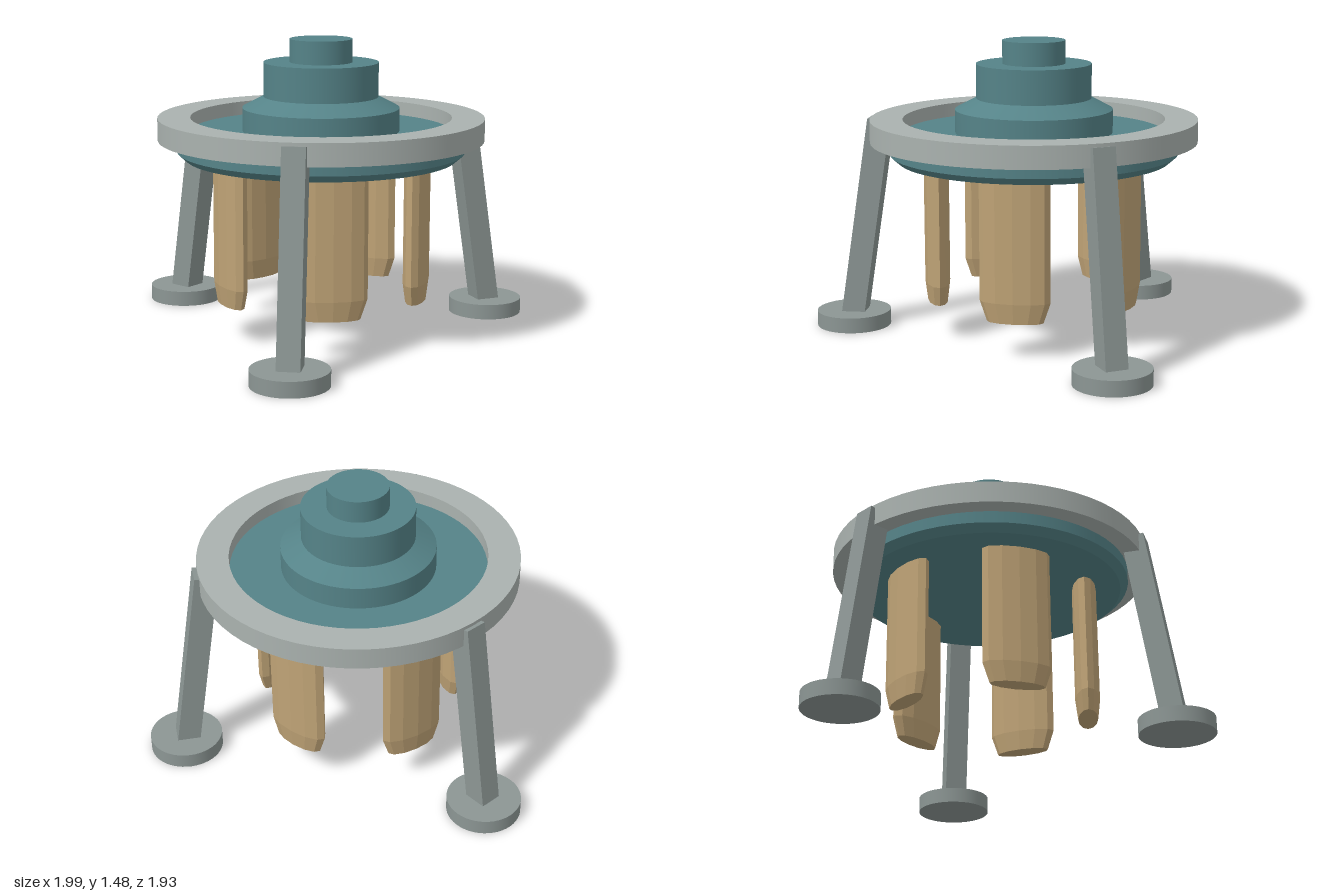
import * as THREE from 'three';

const mat = (color, flatShading = false) => new THREE.MeshStandardMaterial({ color, flatShading });
const CENTER_Z = 0.155;

function add(parent, name, geometry, material) {
  const mesh = new THREE.Mesh(geometry, material);
  mesh.name = name;
  parent.add(mesh);
  return mesh;
}

// Solid of revolution with sharp profile corners: each segment is its own lathe strip
function turned(parent, name, profile, material, segments = 64) {
  const group = new THREE.Group();
  group.name = name;
  for (let i = 0; i < profile.length - 1; i++) {
    const pts = [profile[i], profile[i + 1]].map(([r, y]) => new THREE.Vector2(r, y));
    add(group, name + 'Surface', new THREE.LatheGeometry(pts, segments), material);
  }
  parent.add(group);
  return group;
}

export function createModel() {
  const model = new THREE.Group();
  model.name = 'tripodLander';
  const body = new THREE.Group();
  body.name = 'body';
  body.position.z = CENTER_Z;
  model.add(body);

  const teal = mat(0x558388);
  const ringGrey = mat(0xaab2af);
  const legGrey = mat(0x8c9694);
  const tan = mat(0xbfa376, true);

  // Round hull: chamfered dish below, stepped dome above
  turned(body, 'hull', [
    [0, 0.885], [0.675, 0.885], [0.715, 0.92], [0.715, 1.02], [0.39, 1.02],
    [0.39, 1.135], [0.285, 1.19], [0.285, 1.36], [0.155, 1.36], [0.155, 1.475], [0, 1.475],
  ], teal);

  // Flat ring around the hull
  turned(body, 'outerRing', [
    [0.648, 0.98], [0.81, 0.98], [0.81, 1.09], [0.648, 1.09], [0.648, 0.98],
  ], ringGrey);

  // Three splayed legs on round feet
  const top = new THREE.Vector2(0.773, 1.067);
  const bottom = new THREE.Vector2(0.929, 0.06);
  const mid = top.clone().add(bottom).multiplyScalar(0.5);
  const tilt = Math.atan2(bottom.x - top.x, top.y - bottom.y);
  for (let i = 0; i < 3; i++) {
    const leg = new THREE.Group();
    leg.name = 'leg' + (i + 1);
    leg.rotation.y = Math.PI + i * Math.PI * 2 / 3;
    const strut = add(leg, 'strut', new THREE.BoxGeometry(0.113, top.distanceTo(bottom), 0.117), legGrey);
    strut.position.set(0, mid.y, mid.x);
    strut.rotation.x = -tilt;
    const foot = add(leg, 'foot', new THREE.CylinderGeometry(0.187, 0.187, 0.077, 48), legGrey);
    foot.position.set(0, 0.0385, 0.935);
    body.add(leg);
  }

  // Five hanging oval pods with tapered lower ends
  const podProfile = [[0, 0.18], [0.8, 0.18], [1, 0.28], [1, 0.9], [0, 0.9]]
    .map(([r, y]) => new THREE.Vector2(r, y));
  const podGeometry = new THREE.LatheGeometry(podProfile, 12).scale(0.062, 1, 0.172);
  for (let i = 0; i < 5; i++) {
    const angle = -0.155 + i * Math.PI * 2 / 5;
    const pod = add(body, 'pod' + (i + 1), podGeometry, tan);
    pod.position.set(0.487 * Math.cos(angle), 0, 0.487 * Math.sin(angle));
    pod.rotation.y = -angle;
  }

  return model;
}
